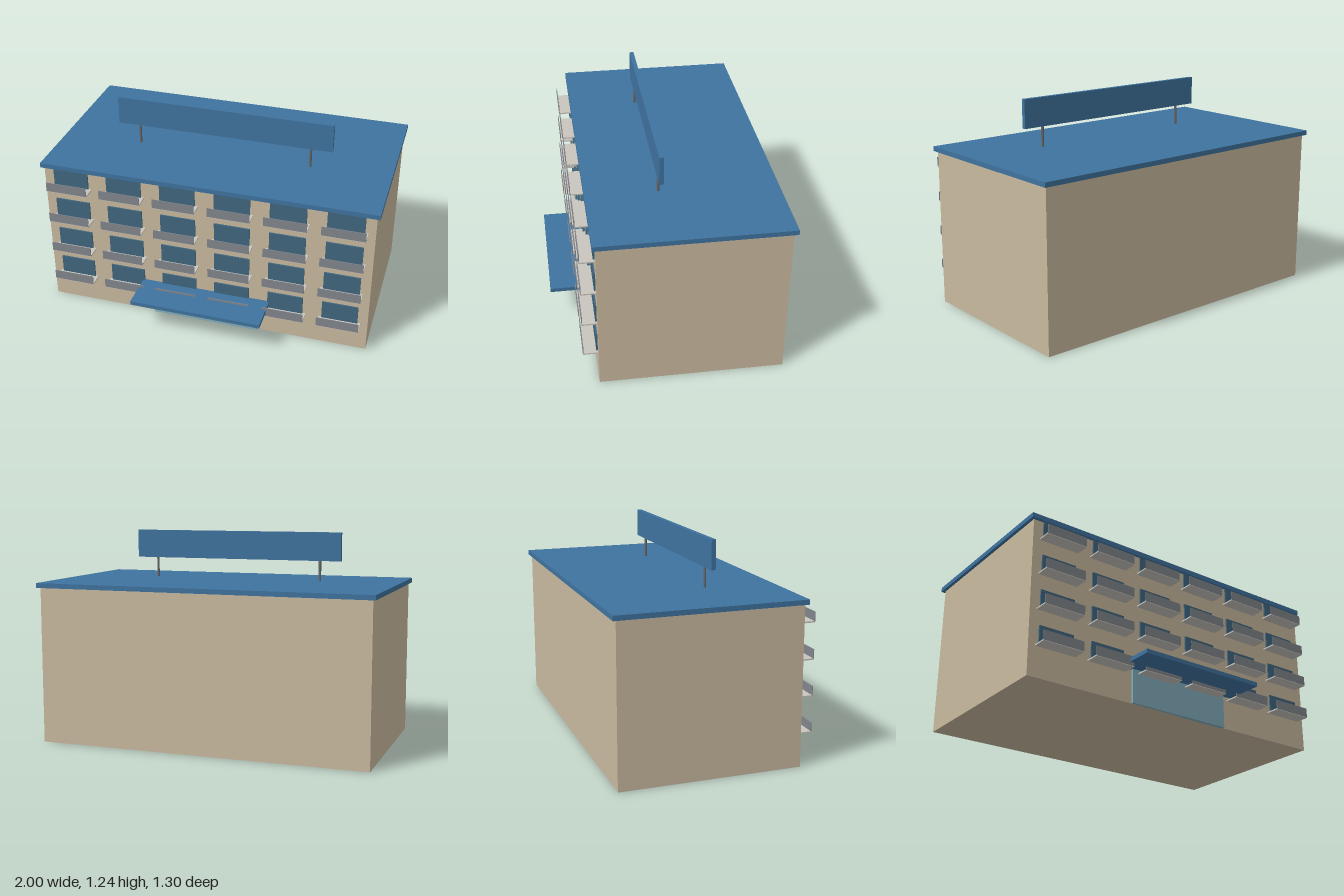
import * as THREE from 'three';

const material = (name, color) => {
  const m = new THREE.MeshStandardMaterial({ color });
  m.name = name;
  return m;
};

export function createModel() {
  const model = new THREE.Group();
  model.name = 'building';

  const wall = material('sand wall', 0xc9ba9f);
  const blue = material('roof blue', 0x3f739f);
  const windowBlue = material('window blue', 0x40667f);
  const glass = material('door glass', 0x83aebd);
  const railGrey = material('rail grey', 0x82868c);
  const slabGrey = material('slab grey', 0xc9c5be);
  const poleGrey = material('pole grey', 0x66696c);

  // Box given by its extents along each axis
  const box = (name, mat, [x0, x1], [y0, y1], [z0, z1], parent = model) => {
    const mesh = new THREE.Mesh(new THREE.BoxGeometry(x1 - x0, y1 - y0, z1 - z0), mat);
    mesh.position.set((x0 + x1) / 2, (y0 + y1) / 2, (z0 + z1) / 2);
    mesh.name = name;
    parent.add(mesh);
    return mesh;
  };

  // Main block and overhanging roof slab
  box('walls', wall, [-0.982, 0.982], [0, 0.92], [-0.63, 0.418]);
  box('roof', blue, [-1, 1], [0.92, 0.948], [-0.65, 0.436]);

  // Entrance with canopy
  box('entrance', glass, [-0.325, 0.325], [0, 0.2], [0.41, 0.434]);
  box('canopy', blue, [-0.394, 0.394], [0.199, 0.223], [0.418, 0.65]);

  // Four floors of six windows, each with a balcony
  for (let floor = 0; floor < 4; floor++) {
    for (let col = 0; col < 6; col++) {
      const bay = new THREE.Group();
      bay.name = 'windowBay';
      bay.position.set((col - 2.5) * 0.3265, 0.175 + floor * 0.2097, 0);
      model.add(bay);
      const top = floor === 3 ? 0.116 : 0.12;
      box('window', windowBlue, [-0.106, 0.106], [0.004, top], [0.415, 0.427], bay);
      box('balconySlab', slabGrey, [-0.124, 0.124], [0, 0.008], [0.418, 0.502], bay);
      box('balconyRail', railGrey, [-0.124, 0.124], [0.004, 0.06], [0.499, 0.503], bay);
    }
  }

  // Rooftop board on two poles
  box('roofBoard', blue, [-0.651, 0.651], [1.068, 1.237], [0.014, 0.039]);
  for (const side of [-1, 1]) {
    const pole = new THREE.Mesh(new THREE.CylinderGeometry(0.008, 0.008, 0.125, 8), poleGrey);
    pole.position.set(side * 0.522, 1.0085, 0.0265);
    pole.name = 'boardPole';
    model.add(pole);
  }

  return model;
}
